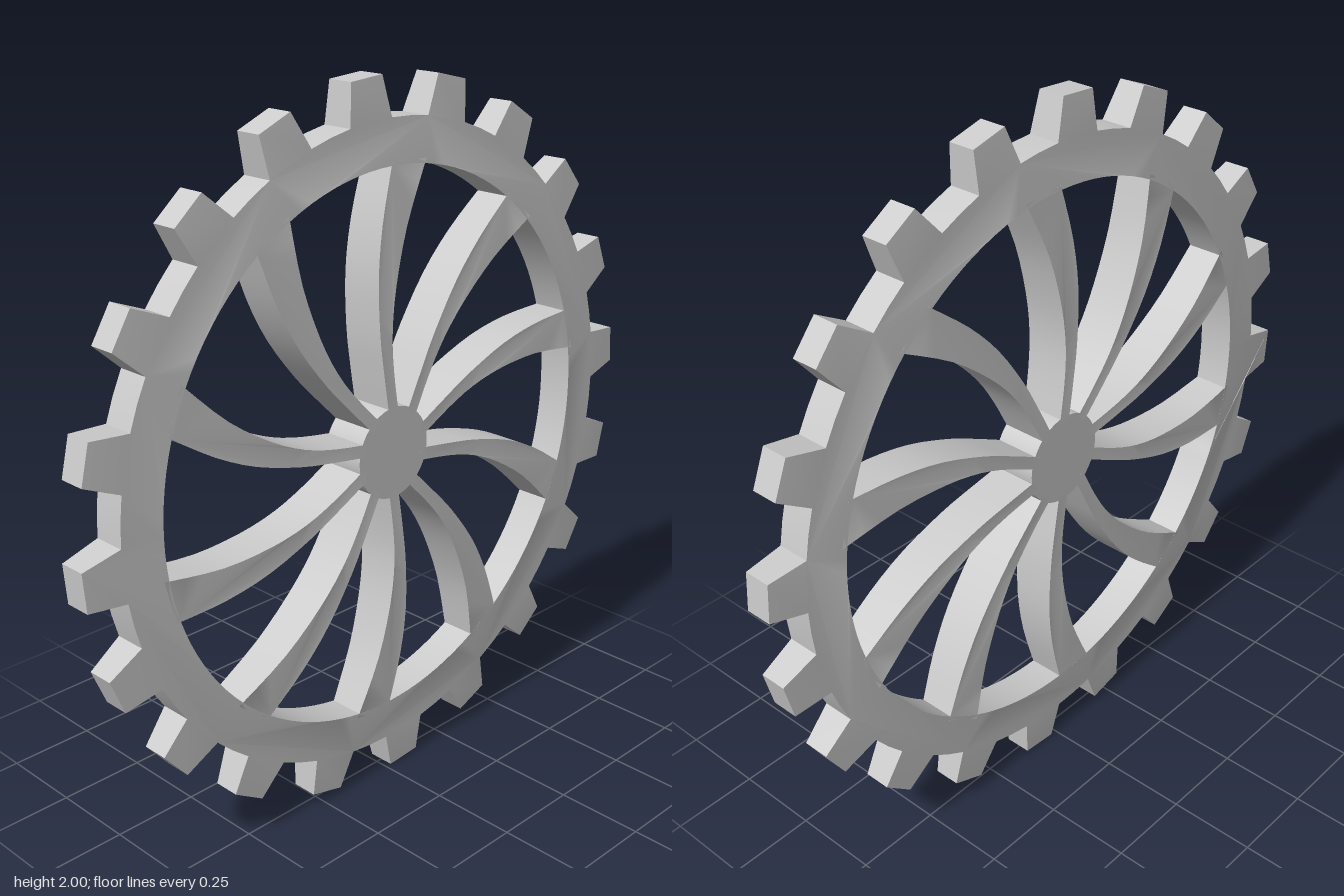
import * as THREE from 'three';
import { toCreasedNormals } from 'three/addons/utils/BufferGeometryUtils.js';

const TEETH = 20, SPOKES = 10;
const TIP_R = 1, ROOT_R = 0.892, BORE_R = 0.772, HUB_R = 0.13;
const material = new THREE.MeshStandardMaterial({ color: 0xcccccc });
const rad = THREE.MathUtils.degToRad;
const polar = (r, deg) => new THREE.Vector2(r * Math.cos(rad(deg)), r * Math.sin(rad(deg)));
const v = (x, y) => new THREE.Vector2(x, y);

// Half thickness: the wheel is gently domed and thins towards the tooth tips
const halfDepth = (r) => 0.064 - 0.026 * r ** 3;

// Extrudes an outline about z = 0 and domes both faces
function domedPlate(name, shape, curveSegments = 12) {
  const geometry = new THREE.ExtrudeGeometry(shape, { depth: 2, bevelEnabled: false, curveSegments });
  geometry.translate(0, 0, -1);
  const p = geometry.attributes.position;
  for (let i = 0; i < p.count; i++) {
    p.setZ(i, Math.sign(p.getZ(i)) * halfDepth(Math.hypot(p.getX(i), p.getY(i))));
  }
  const mesh = new THREE.Mesh(toCreasedNormals(geometry, rad(28)), material);
  mesh.name = name;
  return mesh;
}

// Toothed ring with a round bore
function rimShape() {
  const points = [];
  for (let i = 0; i < TEETH; i++) {
    const a = 4.2 + (i * 360) / TEETH;
    points.push(polar(ROOT_R, a - 4.7), polar(TIP_R, a - 3.1), polar(TIP_R, a + 3.1),
      polar(ROOT_R, a + 4.7), polar(ROOT_R, a + 9));
  }
  const shape = new THREE.Shape(points);
  shape.holes.push(new THREE.Path().absarc(0, 0, BORE_R, 0, Math.PI * 2, true));
  return shape;
}

// Swept spoke, narrow at the hub and flaring into the rim
function spokeShape() {
  const right = [v(0.018, 0.11), v(0, 0.23), v(-0.005, 0.34), v(0.01, 0.46), v(0.052, 0.61), v(0.122, 0.76), v(0.13, 0.775)];
  const left = [v(0.004, 0.785), v(0, 0.77), v(-0.037, 0.63), v(-0.055, 0.49), v(-0.051, 0.34), v(-0.037, 0.23), v(-0.018, 0.11)];
  return new THREE.Shape([
    ...new THREE.SplineCurve(right).getPoints(18),
    ...new THREE.SplineCurve(left).getPoints(18),
  ]);
}

export function createModel() {
  const wheel = new THREE.Group();
  wheel.name = 'spokedGearWheel';
  wheel.position.y = 1;

  wheel.add(domedPlate('toothedRim', rimShape(), 60));
  wheel.add(domedPlate('hub', new THREE.Shape().absarc(0, 0, HUB_R, 0, Math.PI * 2), 20));

  const spoke = domedPlate('spoke', spokeShape());
  for (let i = 0; i < SPOKES; i++) {
    const copy = spoke.clone();
    copy.rotation.z = (i * Math.PI * 2) / SPOKES;
    wheel.add(copy);
  }

  const model = new THREE.Group();
  model.name = 'gearWheel';
  model.add(wheel);
  return model;
}
